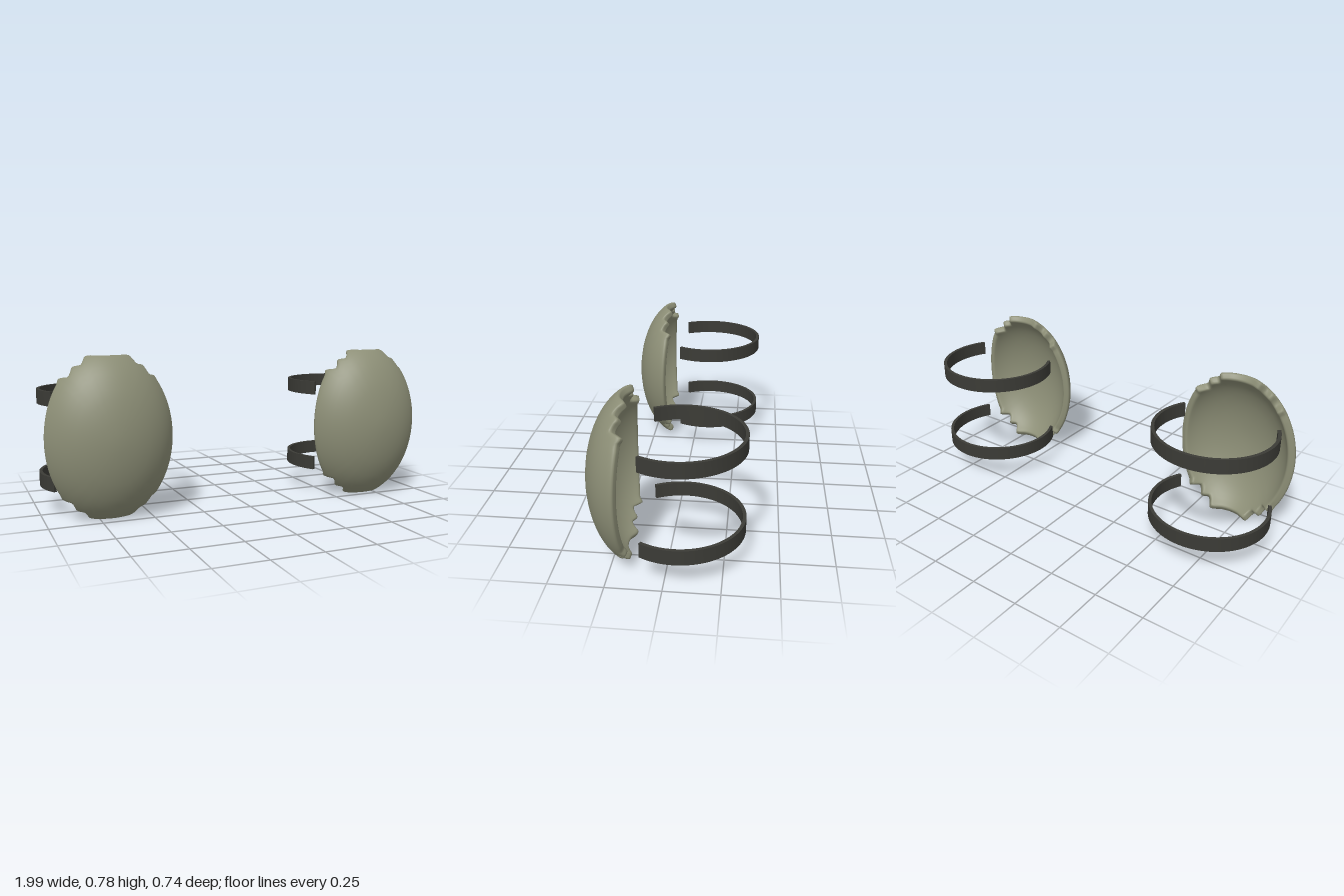
import * as THREE from 'three';
import { toCreasedNormals } from 'three/addons/utils/BufferGeometryUtils.js';

// Ellipsoid the shell is cut from: half-width, half-height, depth
const RX = 0.326, RY = 0.42, RZ = 0.245;
const THICKNESS = 0.04;
const MID_Y = 0.392;
const SEGMENTS = 200;

// Stepped oval outline, mirrored from one quarter, counter-clockwise from the front
function padOutline() {
  const quarter = [];
  for (let i = 0; i <= 8; i++) {
    const y = 0.265 * i / 8;
    quarter.push([0.31 * Math.sqrt(1 - (y / RY) ** 2), y]);
  }
  quarter.push([0.232, 0.285], [0.215, 0.293], [0.195, 0.297], [0.18, 0.32], [0.17, 0.34],
    [0.155, 0.346], [0.135, 0.35], [0.12, 0.368], [0.108, 0.386], [0.09, 0.392], [0.045, 0.392], [0, 0.392]);
  const back = quarter.slice(0, -1).reverse();
  const all = [
    ...quarter,
    ...back.map(([x, y]) => [-x, y]),
    ...quarter.slice(1).map(([x, y]) => [-x, -y]),
    ...back.slice(0, -1).map(([x, y]) => [x, -y]),
  ];
  const curve = new THREE.CatmullRomCurve3(all.map(([x, y]) => new THREE.Vector3(x, y, 0)), true);
  return curve.getSpacedPoints(SEGMENTS).slice(0, SEGMENTS);
}

// Point on the ellipsoid, sunk below its surface; z = 0 at the front apex
function shellPoint(x, y, sink) {
  const s = Math.sqrt(Math.max(0.01, 1 - (x / RX) ** 2 - (y / RY) ** 2));
  const normal = new THREE.Vector3(x / RX ** 2, y / RY ** 2, s / RZ).normalize();
  return new THREE.Vector3(x, y, RZ * (s - 1)).addScaledVector(normal, -sink);
}

// Curved shell: rings run from the front centre, round the lip, to the back centre
function padGeometry() {
  const outline = padOutline();
  const spread = [0.12, 0.25, 0.38, 0.5, 0.6, 0.7, 0.78, 0.85, 0.91, 0.955];
  const rings = [
    ...spread.map(t => [t, 0]),
    [0.98, 0], [0.991, 0.002], [0.998, 0.006], [1, 0.012],
    [1, 0.028], [0.998, 0.034], [0.991, 0.038], [0.98, 0.04],
    ...spread.slice().reverse().map(t => [t, THICKNESS]),
  ];
  const positions = [], index = [];
  for (const [t, sink] of rings) {
    for (const p of outline) positions.push(...shellPoint(p.x * t, p.y * t, sink).toArray());
  }
  const front = rings.length * SEGMENTS, rear = front + 1, last = (rings.length - 1) * SEGMENTS;
  positions.push(0, 0, 0, 0, 0, -THICKNESS);
  for (let j = 0; j < SEGMENTS; j++) {
    const k = (j + 1) % SEGMENTS;
    index.push(front, j, k, last + j, rear, last + k);
    for (let i = 0; i < rings.length - 1; i++) {
      const a = i * SEGMENTS, b = a + SEGMENTS;
      index.push(a + j, b + j, b + k, a + j, b + k, a + k);
    }
  }
  const geometry = new THREE.BufferGeometry();
  geometry.setAttribute('position', new THREE.Float32BufferAttribute(positions, 3));
  geometry.setIndex(index);
  geometry.computeVertexNormals();
  return geometry;
}

// Flat strap bent round the back, open toward the pad
function strapGeometry() {
  const start = -Math.PI * 31 / 180, end = Math.PI - start;
  const shape = new THREE.Shape();
  shape.absarc(0, 0, 0.296, start, end, false);
  shape.absarc(0, 0, 0.28, end, start, true);
  const geometry = new THREE.ExtrudeGeometry(shape, { depth: 0.07, bevelEnabled: false, curveSegments: 48 });
  geometry.rotateX(-Math.PI / 2);
  return toCreasedNormals(geometry, 0.6);
}

export function createModel() {
  const shellMaterial = new THREE.MeshStandardMaterial({ color: 0x8c8e76 });
  shellMaterial.name = 'olive shell';
  const strapMaterial = new THREE.MeshStandardMaterial({ color: 0x3b3b36 });
  strapMaterial.name = 'dark strap';

  const padShape = padGeometry(), strapShape = strapGeometry();
  const model = new THREE.Group();
  model.name = 'kneePads';

  // One pad with two straps per leg; the left one sits slightly further forward
  for (const side of [1, -1]) {
    const guard = new THREE.Group();
    guard.name = side > 0 ? 'leftKneePad' : 'rightKneePad';
    guard.position.set(side * 0.69, 0, side * 0.0135);

    const shell = new THREE.Mesh(padShape, shellMaterial);
    shell.name = 'shell';
    shell.position.set(0, MID_Y, 0.355);
    guard.add(shell);

    for (const [name, y] of [['upperStrap', 0.539], ['lowerStrap', 0.13]]) {
      const strap = new THREE.Mesh(strapShape, strapMaterial);
      strap.name = name;
      strap.position.set(0, y, -0.061);
      guard.add(strap);
    }
    model.add(guard);
  }
  return model;
}
